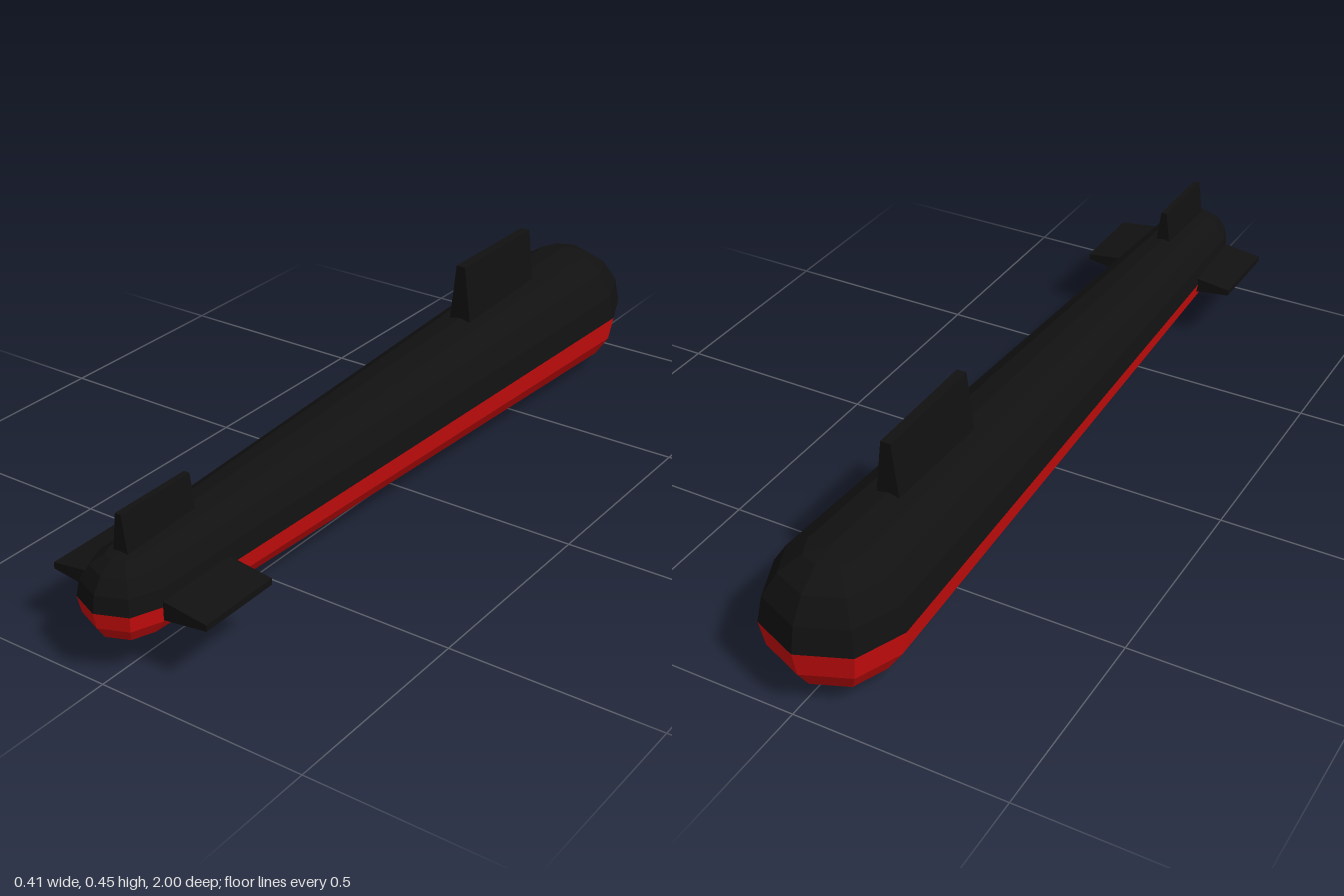
import * as THREE from 'three';

const CX = -0.011, CY = 0.167; // hull axis
const STERN = { r: 0.1, z: 0.9 }, BOW = { r: 0.164, z: -0.836 };

const black = new THREE.MeshStandardMaterial({ color: 0x111111, flatShading: true });
const red = new THREE.MeshStandardMaterial({ color: 0xcc0d0d, flatShading: true });

function add(parent, name, geometry, material) {
  const mesh = new THREE.Mesh(geometry, material);
  mesh.name = name;
  parent.add(mesh);
  return mesh;
}

// Box whose top is narrowed in x: a tapered blade standing on y = 0
function bladeGeometry(baseWidth, tipWidth, height, length) {
  const g = new THREE.BoxGeometry(baseWidth, height, length).translate(0, height / 2, 0);
  const p = g.attributes.position;
  for (let i = 0; i < p.count; i++) {
    if (p.getY(i) > height / 2) p.setX(i, Math.sign(p.getX(i)) * tipWidth / 2);
  }
  return g;
}

// Half of the tapered hull with a quarter-sphere dome on each end
function hullHalf(name, upper, material) {
  const half = new THREE.Group();
  half.name = name;
  const length = STERN.z - BOW.z;
  const body = new THREE.CylinderGeometry(STERN.r, BOW.r, length, 8, 1, true,
    upper ? Math.PI / 2 : -Math.PI / 2, Math.PI);
  body.rotateX(Math.PI / 2).translate(0, 0, (STERN.z + BOW.z) / 2);
  add(half, name + 'Body', body, material);
  for (const [end, dome, phi] of [['Stern', STERN, 0], ['Bow', BOW, Math.PI]]) {
    const g = new THREE.SphereGeometry(dome.r, 4, 4, phi, Math.PI,
      upper ? 0 : Math.PI / 2, Math.PI / 2).translate(0, 0, dome.z);
    add(half, name + end + 'Dome', g, material);
  }
  half.position.set(CX, CY, 0);
  return half;
}

export function createModel() {
  const model = new THREE.Group();
  model.name = 'submarine';

  model.add(hullHalf('upperHull', true, black), hullHalf('lowerHull', false, red));

  // Conning tower
  add(model, 'tower', bladeGeometry(0.062, 0.024, 0.159, 0.305), black)
    .position.set(CX, 0.29, -0.482);

  // Tail fins: one upright, one to each side
  const fin = bladeGeometry(0.044, 0.015, 0.11, 0.207);
  add(model, 'rudder', fin, black).position.set(CX, 0.24, 0.806);
  for (const [name, side] of [['leftFin', 1], ['rightFin', -1]]) {
    const mesh = add(model, name, fin, black);
    mesh.rotation.z = -side * Math.PI / 2;
    mesh.position.set(side * 0.093, 0.164, 0.806);
  }
  return model;
}
